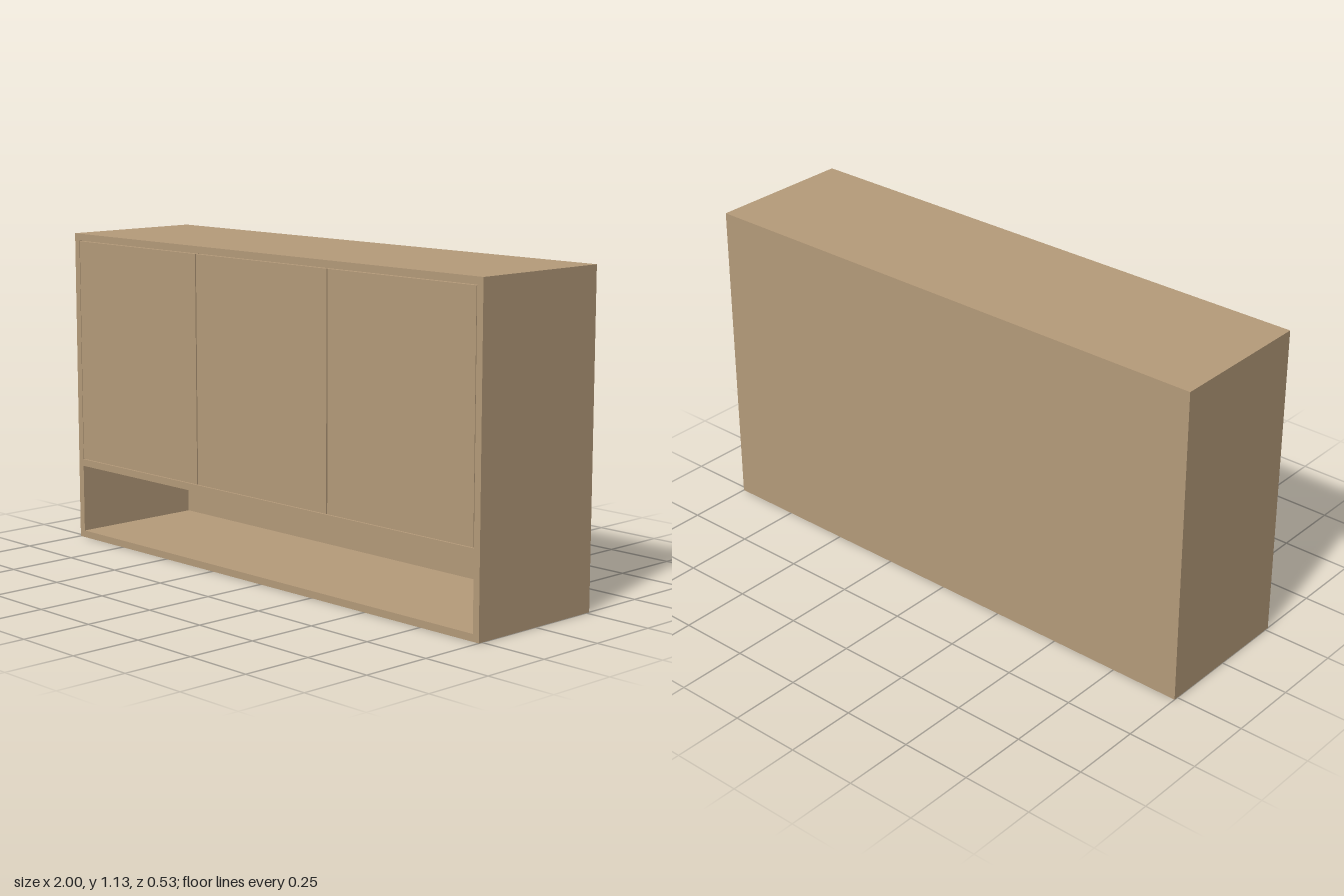
import * as THREE from 'three';

export function createModel() {
  const model = new THREE.Group();
  model.name = 'wallCabinet';
  const wood = new THREE.MeshStandardMaterial({ color: 0xb59b7a });

  const W = 2, H = 1.13, D = 0.53, T = 0.025;
  const innerW = W - 2 * T;

  // Board given by its size and centre
  function board(name, w, h, d, x, y, z) {
    const mesh = new THREE.Mesh(new THREE.BoxGeometry(w, h, d), wood);
    mesh.name = name;
    mesh.position.set(x, y, z);
    model.add(mesh);
  }

  // Carcass: full-height sides with the other boards set between them
  board('leftSide', T, H, D, W / 2 - T / 2, H / 2, 0);
  board('rightSide', T, H, D, -W / 2 + T / 2, H / 2, 0);
  board('topPanel', innerW, T, D, 0, H - T / 2, 0);
  board('bottomPanel', innerW, T, D, 0, T / 2, 0);
  board('backPanel', innerW, H - 2 * T, T, 0, H / 2, -D / 2 + T / 2);

  // Shelf above the open niche
  const shelfY = 0.27;
  board('shelf', innerW, T, D - T, 0, shelfY + T / 2, T / 2);

  // Three flush doors with narrow gaps around them
  const gap = 0.005;
  const pitch = innerW / 3;
  const doorBottom = shelfY + T, doorTop = H - T;
  for (let i = -1; i <= 1; i++) {
    board(['rightDoor', 'middleDoor', 'leftDoor'][i + 1],
      pitch - gap, doorTop - doorBottom - gap, T,
      i * pitch, (doorTop + doorBottom) / 2, D / 2 - T / 2);
  }

  return model;
}
